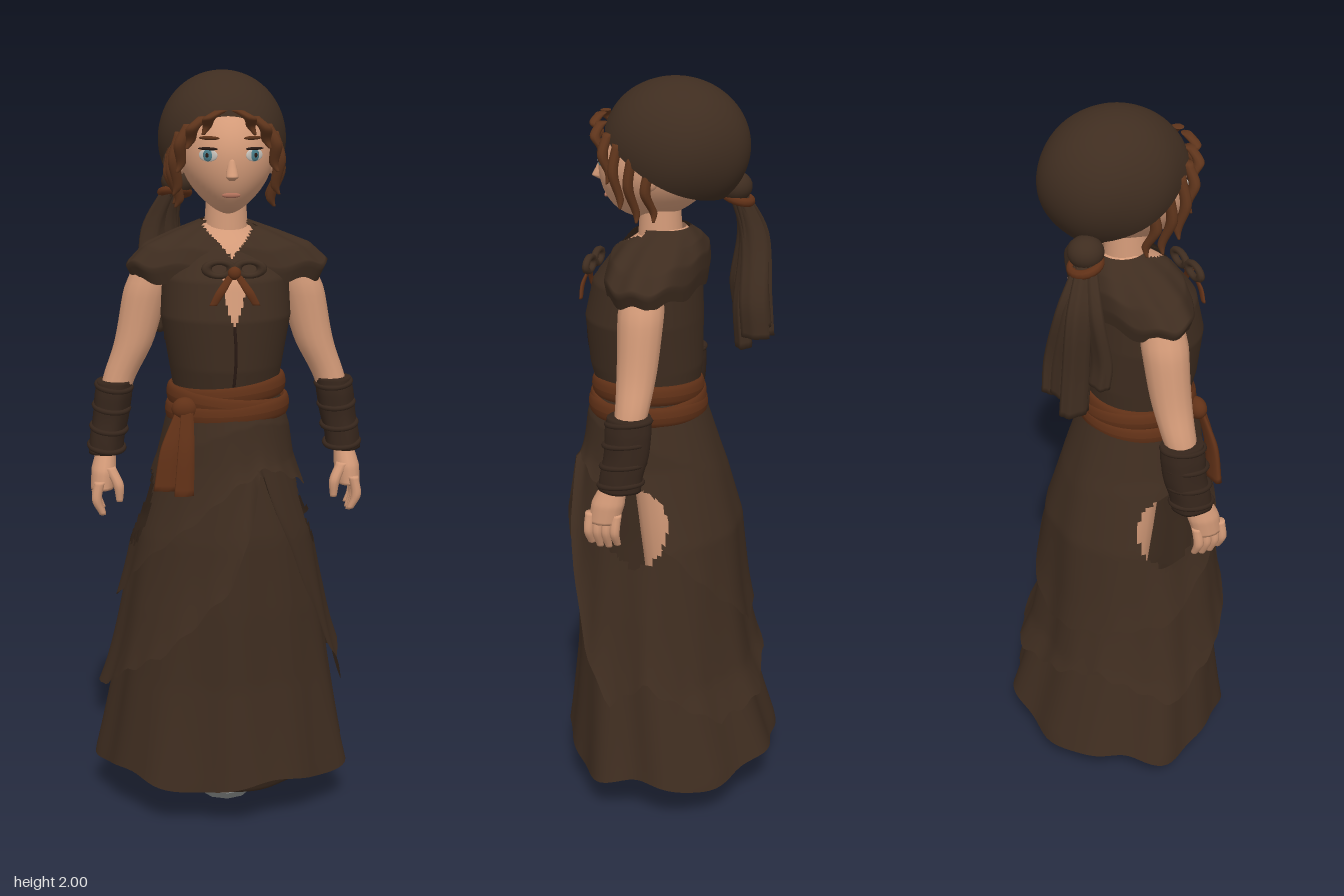
import * as THREE from 'three';

const mat = (name, color) => new THREE.MeshStandardMaterial({ name, color, side: THREE.DoubleSide });

// Piecewise lookup: rows of [key, ...values] with ascending keys
function lookup(rows, k) {
  let i = 0;
  while (i < rows.length - 2 && k > rows[i + 1][0]) i++;
  const [a, b] = [rows[i], rows[i + 1]];
  const t = THREE.MathUtils.clamp((k - a[0]) / (b[0] - a[0]), 0, 1);
  return a.slice(1).map((v, n) => v + (b[n + 1] - v) * t);
}

// Closed surface around the y axis; f(angle, v) gives a point, keep(x, y, z) may cut holes
function wrap(f, nu, nv, keep = () => true) {
  const pos = [], idx = [];
  for (let j = 0; j <= nv; j++)
    for (let i = 0; i < nu; i++) pos.push(...f(-Math.PI + (i / nu) * 2 * Math.PI, j / nv));
  for (let j = 0; j < nv; j++)
    for (let i = 0; i < nu; i++) {
      const n = (i + 1) % nu, a = j * nu + i, b = j * nu + n, c = a + nu, d = b + nu;
      const mid = [0, 1, 2].map(k => (pos[a * 3 + k] + pos[b * 3 + k] + pos[c * 3 + k] + pos[d * 3 + k]) / 4);
      if (keep(...mid)) idx.push(a, c, b, b, c, d);
    }
  const g = new THREE.BufferGeometry();
  g.setAttribute('position', new THREE.Float32BufferAttribute(pos, 3));
  g.setIndex(idx);
  g.computeVertexNormals();
  return g;
}

// Tapered limb or ribbon: points [x, y, z, radius], flattened by fx and fz, pleated if wanted
function limb(pts, fx = 1, fz = 1, pleat = 0, nu = 14) {
  const path = new THREE.CatmullRomCurve3(pts.map(p => new THREE.Vector3(...p)));
  const radii = pts.map((p, i) => [i / (pts.length - 1), p[3]]);
  const n = pts.length * 5;
  return wrap((a, v) => {
    const t = THREE.MathUtils.clamp((v * (n + 2) - 1) / n, 0, 1), p = path.getPoint(t);
    const r = (v === 0 || v === 1) ? 0 : lookup(radii, t)[0] * (1 + pleat * Math.sin(a * 5));
    return [p.x + Math.sin(a) * r * fx, p.y, p.z + Math.cos(a) * r * fz];
  }, nu, n + 2);
}

// Cross-sections: [y, half width, centre z, half depth]
const SKIRT = [[0.12, 0.335, 0, 0.285], [0.4, 0.29, 0.03, 0.235], [0.6, 0.262, 0.04, 0.225],
  [0.8, 0.228, 0.045, 0.215], [1, 0.168, 0.058, 0.175], [1.17, 0.143, 0.07, 0.143]];
const TORSO = [[1.17, 0.135, 0.07, 0.135], [1.25, 0.148, 0.075, 0.15], [1.38, 0.17, 0.08, 0.155],
  [1.48, 0.165, 0.07, 0.142], [1.56, 0.13, 0.04, 0.112], [1.6, 0.085, 0.02, 0.078], [1.62, 0.06, 0.02, 0.06]];
const CAPE = [[0, 1.62, 0.062, 0.02, 0.064], [0.3, 1.59, 0.14, 0.03, 0.1], [0.65, 1.555, 0.22, 0.035, 0.12],
  [0.9, 1.51, 0.265, 0.04, 0.125], [1, 1.47, 0.245, 0.04, 0.12]];
// Hem heights by angle, 0 at the front, positive towards +x
const HEM_LOW = [[-3.15, 0.33], [-2.4, 0.42], [-1.57, 0.33], [-0.6, 0.5], [0, 0.7], [0.4, 1], [0.6, 0.8],
  [1, 0.5], [1.3, 0.36], [1.7, 0.44], [2.4, 0.3], [3.15, 0.33]];
const HEM_HIGH = [[-3.15, 0.5], [-2.4, 0.55], [-1.57, 0.6], [-0.8, 0.78], [0, 0.95], [0.5, 1], [1.57, 0.9],
  [2.4, 0.68], [3.15, 0.5]];

// Face surface depth
const faceZ = (x, y) => {
  const n = (y - 1.78) / 0.14, s = Math.sqrt(1 - n * n), t = n < 0 ? 1 - 0.35 * n * n : 1;
  const q = x / (s * 0.118 * t);
  return 0.045 + 0.15 * s * Math.sqrt(Math.max(0, 1 - q * q)) + (n < 0 ? 0.03 * n * n : 0);
};

export function createModel() {
  const cloth = mat('darkBrownCloth', 0x3f2d20), sashMat = mat('rustCloth', 0x613117);
  const skin = mat('skin', 0xd39a78), hair = mat('brownHair', 0x5e341b), grey = mat('greyMetal', 0x8c908f);
  const bracerMat = mat('darkLeather', 0x35251b), eyeWhite = mat('eyeWhite', 0xc9c4bc);
  const iris = mat('tealIris', 0x4b7f8c), dark = mat('darkLash', 0x2a1a14), lip = mat('lips', 0xb0705a);
  const model = new THREE.Group();
  const add = (name, geo, m, parent = model) => {
    const mesh = new THREE.Mesh(geo, m);
    mesh.name = name;
    parent.add(mesh);
    return mesh;
  };
  const group = name => { const g = new THREE.Group(); g.name = name; model.add(g); return g; };
  const blob = (name, m, p, s, parent) => {
    const b = add(name, new THREE.SphereGeometry(1, 20, 14), m, parent);
    b.position.set(...p);
    b.scale.set(...s);
    return b;
  };

  // Skirt layers with side openings
  const skirt = group('skirt');
  const pocket = (x, y, z) => Math.abs(x) < 0.1 || ((z - 0.05) / 0.088) ** 2 + ((y - 0.85) / 0.105) ** 2 > 1;
  const layer = (name, hem, off, flare) => add(name, wrap((a, v) => {
    const y = 1.17 + (hem(a) - 1.17) * v, [hx, zc, hz] = lookup(SKIRT, y);
    const fold = 1 + (1.17 - y) * (0.03 * Math.sin(7 * a + 2 * y) + 0.022 * Math.sin(11 * a + 1.3));
    const k = off * Math.min(1, v * 3) + flare * v ** 6;
    return [Math.sin(a) * (hx * fold + k), y, zc + Math.cos(a) * (hz * fold + k)];
  }, 120, 50, pocket), cloth, skirt);
  layer('longSkirt', a => 0.125 + 0.015 * Math.sin(5 * a), 0, 0.01);
  layer('lowerOverskirt', a => lookup(HEM_LOW, a)[0] + 0.008 * Math.sin(23 * a), 0.008, 0.028);
  layer('upperOverskirt', a => lookup(HEM_HIGH, a)[0] + 0.006 * Math.sin(19 * a), 0.015, 0.012);
  const petti = [[0, 0.35, 0.24, 0.19], [0.6, 0.13, 0.25, 0.2], [0.8, 0.09, 0.235, 0.18], [1, 0.11, 0.15, 0.12]];
  add('petticoat', wrap((a, v) => {
    const [y, hx, hz] = lookup(petti, v), f = 1 + 0.04 * Math.sin(6 * a);
    return [Math.sin(a) * hx * f, y, 0.05 + Math.cos(a) * hz * f];
  }, 72, 20), cloth, skirt);

  // Legs and the faceted base with studs
  for (const s of [-1, 1])
    add('leg', limb([[s * 0.075, 1.15, 0.05, 0.07], [s * 0.075, 0.8, 0.01, 0.065], [s * 0.05, 0.45, 0, 0.048],
      [s * 0.02, 0.1, 0, 0.03]]), skin);
  const profile = [[0, 0], [0.072, 0], [0.09, 0.025], [0.09, 0.09], [0.07, 0.12], [0, 0.125]];
  const baseGeo = new THREE.LatheGeometry(profile.map(p => new THREE.Vector2(...p)), 10).toNonIndexed();
  baseGeo.computeVertexNormals();
  const base = add('footBase', baseGeo, grey);
  base.position.set(0.005, 0, 0.01);
  base.scale.z = 1.08;
  for (let i = 0; i < 10; i++) {
    const a = (i / 10) * 2 * Math.PI, stud = add('stud', new THREE.OctahedronGeometry(0.016), sashMat, base);
    stud.position.set(Math.sin(a) * 0.088, 0.078, Math.cos(a) * 0.088);
    stud.rotation.y = a;
    stud.scale.set(1.2, 0.8, 0.4);
  }

  // Body and vest with neckline and keyhole
  add('torso', wrap((a, v) => {
    const y = 1.17 + 0.45 * v, [hx, zc, hz] = lookup(TORSO, y);
    return [Math.sin(a) * (hx - 0.009), y, zc + Math.cos(a) * (hz - 0.009)];
  }, 60, 30), skin);
  add('neck', new THREE.CylinderGeometry(0.05, 0.062, 0.17, 24), skin).position.set(0.005, 1.62, 0.035);
  const front = (x, y, z) => {
    if (z < 0.06) return true;
    const d = Math.abs(x - 0.01);
    return !(d < (y - 1.535) * 0.95 || (y > 1.36 && y < 1.5 && d < 0.026 * Math.min(1, (y - 1.36) / 0.08)));
  };
  add('vest', wrap((a, v) => {
    const y = 1.19 + 0.43 * v, [hx, zc, hz] = lookup(TORSO, y);
    return [Math.sin(a) * hx, y, zc + Math.cos(a) * hz];
  }, 160, 70, front), cloth);
  add('shoulderCape', wrap((a, v) => {
    const [y, hx, zc, hz] = lookup(CAPE, v);
    return [Math.sin(a) * hx + 0.008 * v, y + 0.008 * v * Math.sin(9 * a), zc + Math.cos(a) * hz];
  }, 120, 30, front), cloth);
  add('vestSeam', limb([[0.01, 1.37, 0.235, 0.004], [0.014, 1.29, 0.23, 0.004], [0.01, 1.21, 0.215, 0.004]]), dark);

  // Chest bow
  const bow = group('bow');
  blob('bowKnot', sashMat, [0.01, 1.505, 0.222], [0.017, 0.017, 0.014], bow);
  for (const s of [-1, 1]) {
    const loop = add('bowLoop', new THREE.TorusGeometry(0.024, 0.01, 8, 18), cloth, bow);
    loop.position.set(0.01 + s * 0.038, 1.515, 0.215);
    loop.scale.set(1.35, 0.75, 1);
    add('bowTail', limb([[0.01 + s * 0.008, 1.5, 0.222, 0.01], [0.01 + s * 0.035, 1.46, 0.235, 0.013],
      [0.01 + s * 0.055, 1.425, 0.235, 0.01]], 1, 0.4), sashMat, bow);
  }

  // Sash: wrapped bands, knot and hanging ends
  const sash = group('sash');
  [[1.185, 0.152, 0.02], [1.155, 0.158, -0.025], [1.135, 0.162, 0.012]].forEach(([y, r, tilt]) => {
    const band = add('sashBand', wrap((a, v) => {
      const p = v * 2 * Math.PI, q = r - 0.008 + 0.011 * Math.cos(p);
      return [Math.sin(a) * q, y + 0.027 * Math.sin(p) + tilt * Math.sin(a) * 0.7, 0.07 + Math.cos(a) * q * 0.97];
    }, 60, 12), sashMat, sash);
    band.position.x = 0.005;
  });
  blob('sashKnot', sashMat, [-0.115, 1.15, 0.185], [0.034, 0.03, 0.025], sash);
  add('sashEnd', limb([[-0.12, 1.15, 0.19, 0.018], [-0.15, 1.05, 0.21, 0.032], [-0.165, 0.94, 0.215, 0.036]], 1, 0.35, 0.1), sashMat, sash);
  add('sashEnd', limb([[-0.11, 1.15, 0.2, 0.016], [-0.115, 1.05, 0.225, 0.022], [-0.122, 0.93, 0.235, 0.026]], 1, 0.35, 0.1), sashMat, sash);

  // Arms, bracers and hands
  for (const s of [-1, 1]) {
    const arm = group(s > 0 ? 'leftArm' : 'rightArm');
    const part = (name, pts, m, ...o) => add(name, limb(pts.map(([x, ...r]) => [s * x, ...r]), ...o), m, arm);
    part('armSkin', [[0.17, 1.54, 0.035, 0.05], [0.205, 1.44, 0.033, 0.06], [0.24, 1.3, 0.035, 0.052],
      [0.285, 1.19, 0.04, 0.042], [0.318, 1.02, 0.07, 0.03]], skin);
    part('bracer', [[0.292, 1.2, 0.04, 0.047], [0.297, 1.16, 0.042, 0.05], [0.305, 1.1, 0.045, 0.048],
      [0.315, 1.05, 0.055, 0.046], [0.319, 1.01, 0.06, 0.046]], bracerMat, 1, 1.2, 0.03, 30);
    for (const y of [1.185, 1.13, 1.075, 1.025]) {
      const fold = add('bracerFold', new THREE.TorusGeometry(0.046, 0.007, 8, 28), bracerMat, arm);
      fold.position.set(s * (0.318 - (y - 1.01) * 0.14), y, 0.06 - (y - 1.01) * 0.1);
      fold.rotation.set(Math.PI / 2 + 0.12, s * 0.1, 0);
      fold.scale.y = 1.2;
    }
    part('palm', [[0.318, 1.02, 0.075, 0.032], [0.325, 0.97, 0.09, 0.042], [0.33, 0.92, 0.1, 0.038]], skin, 0.8, 1.05);
    for (let i = 0; i < 4; i++) {
      const z = 0.065 + i * 0.023;
      part('finger', [[0.337, 0.945, z, 0.014], [0.345, 0.895, z + 0.003, 0.0135],
        [0.33, 0.845 + Math.abs(i - 1.5) * 0.008, z, 0.009]], skin, 1, 1, 0, 10);
    }
    part('thumb', [[0.31, 0.98, 0.115, 0.016], [0.288, 0.935, 0.13, 0.015], [0.285, 0.89, 0.13, 0.009]], skin, 1, 1, 0, 10);
  }

  // Head and face
  const head = group('head');
  head.position.x = 0.006;
  add('face', wrap((a, v) => {
    const p = v * Math.PI, n = Math.cos(p), s = Math.sin(p), low = n < 0 ? n * n : 0;
    return [s * Math.sin(a) * 0.118 * (1 - 0.35 * low), 1.78 + 0.14 * n, 0.045 + 0.15 * s * Math.cos(a) + 0.03 * low];
  }, 48, 32), skin, head);
  add('nose', limb([[0, 1.785, 0.186, 0.009], [0, 1.755, 0.195, 0.015], [0, 1.742, 0.2, 0.016], [0, 1.733, 0.19, 0.008]]), skin, head);
  blob('mouth', lip, [0, 1.695, faceZ(0, 1.695)], [0.024, 0.007, 0.006], head);
  for (const s of [-1, 1]) {
    const eye = new THREE.Group();
    eye.name = 'eye';
    eye.position.set(s * 0.058, 1.795, faceZ(0.058, 1.795));
    eye.rotation.y = s * 0.6;
    head.add(eye);
    blob('eyeball', eyeWhite, [0, 0, 0], [0.027, 0.016, 0.004], eye);
    blob('iris', iris, [0, 0, 0.002], [0.014, 0.015, 0.004], eye);
    blob('pupil', dark, [0, 0, 0.004], [0.006, 0.007, 0.003], eye);
    blob('lash', dark, [0, 0.016, 0.001], [0.029, 0.004, 0.005], eye);
    blob('eyebrow', hair, [0, 0.042, -0.005], [0.03, 0.005, 0.005], eye);
    blob('ear', skin, [s * 0.117, 1.77, 0.03], [0.014, 0.033, 0.022], head);
  }

  // Hair cap and curling locks
  const hairGroup = group('hair');
  add('hairBack', wrap((a, v) => {
    const end = 1.1 + 1.25 * (0.5 - 0.5 * Math.cos(a)), p = v * end, r = 1 + 0.02 * Math.sin(14 * a);
    return [Math.sin(p) * Math.sin(a) * 0.152 * r, 1.83 + Math.cos(p) * 0.16, Math.sin(p) * Math.cos(a) * 0.17 * r - 0.005];
  }, 60, 24), hair, hairGroup);
  for (const s of [-1, 1])
    [[0.02, 1.905, 0.185, 0.055, 1.845], [0.06, 1.89, 0.172, 0.095, 1.81], [0.095, 1.87, 0.145, 0.118, 1.75],
      [0.115, 1.85, 0.115, 0.125, 1.69], [0.13, 1.82, 0.075, 0.118, 1.655], [0.135, 1.79, 0.03, 0.12, 1.66]]
      .forEach(([x, y, z, x2, y2], i) => add('lock', limb([[s * x, y, z, 0.017],
        [s * ((x + x2) / 2 + 0.014), (y + y2) / 2 + 0.01, z + 0.008, 0.017],
        [s * x2, y2 + 0.02, z - 0.008, 0.012], [s * (x2 + 0.01), y2, z - (i > 2 ? 0.01 : 0.004), 0.004]],
      1, 0.8, 0.08, 10), hair, hairGroup));

  // Headscarf, knot and pleated tails
  const scarf = group('headscarf');
  add('scarfCap', wrap((a, v) => {
    const side = 0.5 - 0.5 * Math.cos(a), end = 1.2 + 1.15 * side + 0.25 * Math.sin(a) ** 2, p = v * end;
    const r = 1 + 0.012 * v * Math.sin(6 * a + 4 * v);
    return [Math.sin(p) * Math.sin(a) * 0.167 * r - 0.002, 1.828 + Math.cos(p) * 0.172, Math.sin(p) * Math.cos(a) * 0.19 * r - 0.005];
  }, 72, 30), cloth, scarf);
  blob('scarfKnot', cloth, [-0.11, 1.705, -0.135], [0.045, 0.04, 0.045], scarf);
  const tie = add('scarfTie', new THREE.TorusGeometry(0.036, 0.012, 8, 20), sashMat, scarf);
  tie.position.set(-0.118, 1.675, -0.14);
  tie.rotation.x = Math.PI / 2 - 0.3;
  [[-0.185, 1.37, -0.14], [-0.165, 1.29, -0.2], [-0.115, 1.27, -0.165], [-0.075, 1.31, -0.205], [-0.12, 1.33, -0.215]]
    .forEach(([x, y, z], i) => add('scarfTail', limb([[-0.115, 1.71, -0.13, 0.022],
      [(x - 0.15) / 2 - 0.01, 1.58, (z - 0.16) / 2, 0.033], [x, (y + 1.5) / 2, z + 0.008, 0.036], [x, y, z, 0.036]],
    i % 2 ? 0.6 : 1, i % 2 ? 1 : 0.6, 0.12, 20), cloth, scarf));
  return model;
}
